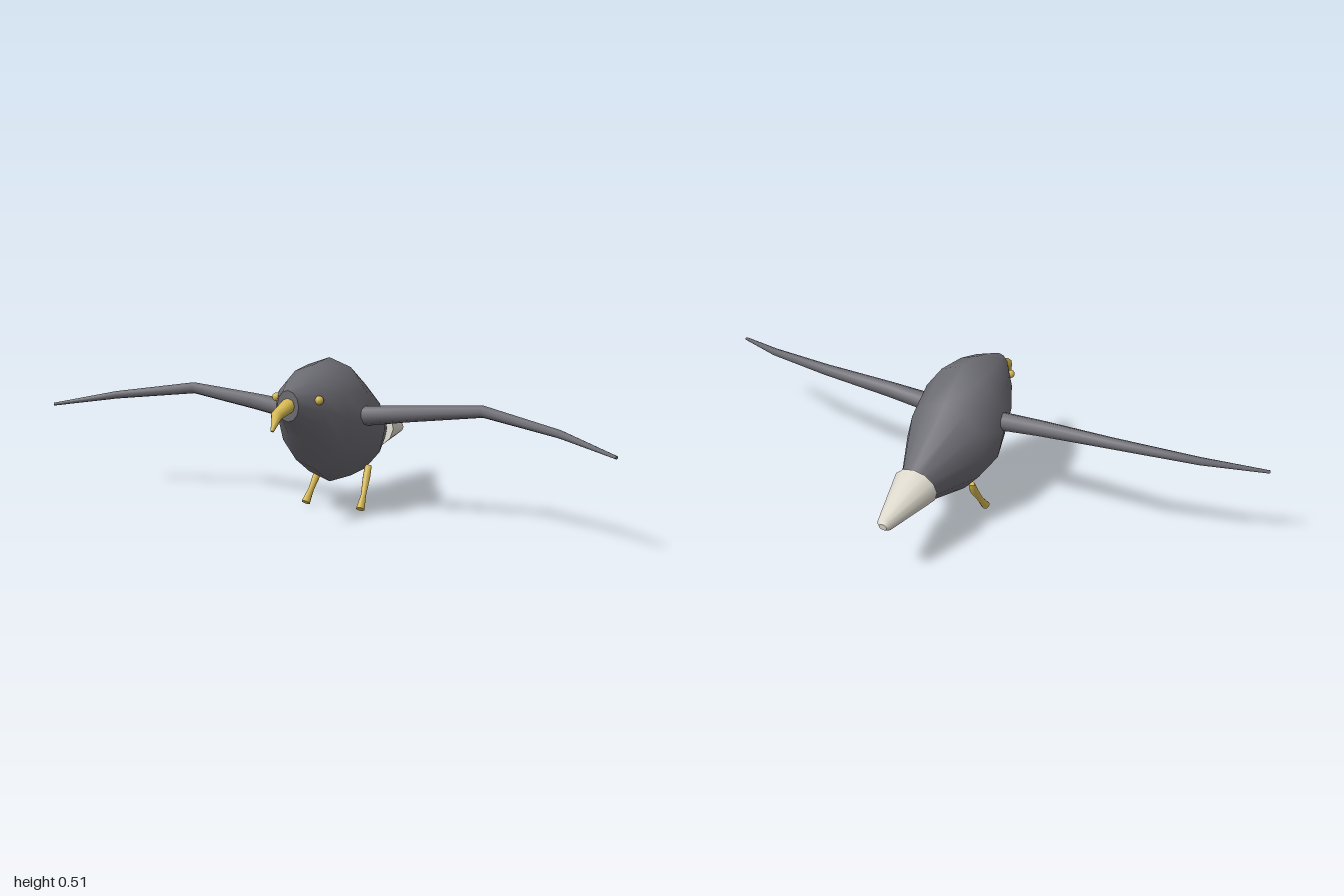
import * as THREE from 'three';

// Loft through elliptical sections [x, y, z, halfWidth, halfHeight].
// With "axis" set all sections face that way; otherwise they follow the path.
function loft(sections, sides, axis) {
  const centres = sections.map(s => new THREE.Vector3(s[0], s[1], s[2]));
  const last = sections.length - 1;
  const rings = sections.map((s, i) => {
    const t = axis ? axis.clone() : new THREE.Vector3()
      .subVectors(centres[Math.min(i + 1, last)], centres[Math.max(i - 1, 0)]).normalize();
    const side = new THREE.Vector3(0, 1, 0).cross(t).normalize();
    const up = t.clone().cross(side);
    return Array.from({ length: sides }, (_, j) => {
      const a = (j / sides) * Math.PI * 2;
      return centres[i].clone().addScaledVector(side, Math.sin(a) * s[3]).addScaledVector(up, Math.cos(a) * s[4]);
    });
  });
  const pos = [], idx = [];
  const add = p => pos.push(p.x, p.y, p.z) / 3 - 1;
  rings.forEach(r => r.forEach(add));
  for (let i = 0; i < last; i++) {
    for (let j = 0; j < sides; j++) {
      const k = (j + 1) % sides;
      const a = i * sides + j, b = i * sides + k, c = a + sides, d = b + sides;
      idx.push(a, c, b, b, c, d);
    }
  }
  // Flat end caps with their own vertices
  [0, last].forEach(i => {
    const c = add(centres[i]);
    const ring = rings[i].map(add);
    ring.forEach((v, j) => {
      const w = ring[(j + 1) % sides];
      idx.push(c, ...(i === 0 ? [v, w] : [w, v]));
    });
  });
  const g = new THREE.BufferGeometry();
  g.setAttribute('position', new THREE.Float32BufferAttribute(pos, 3));
  g.setIndex(idx);
  g.computeVertexNormals();
  return g;
}

export function createModel() {
  const group = new THREE.Group();
  const material = (name, color) => {
    const m = new THREE.MeshStandardMaterial({ color, side: THREE.DoubleSide });
    m.name = name;
    return m;
  };
  const grey = material('slate grey plumage', 0x6b6b72);
  const white = material('off-white tail', 0xdcd8cc);
  const yellow = material('yellow beak and legs', 0xd4b64f);

  const part = (name, geometry, mat) => {
    const mesh = new THREE.Mesh(geometry, mat);
    mesh.name = name;
    group.add(mesh);
  };

  // Body and head: [z, bottom, top, half width]
  const body = [
    [0.35, 0.34, 0.438, 0.038],
    [0.27, 0.27, 0.472, 0.09],
    [0.19, 0.165, 0.498, 0.128],
    [0.08, 0.1, 0.51, 0.155],
    [-0.04, 0.107, 0.432, 0.143],
    [-0.256, 0.167, 0.286, 0.048],
  ].map(([z, lo, hi, w]) => [0, (lo + hi) / 2, z, w, (hi - lo) / 2]);
  part('body', loft(body, 12, new THREE.Vector3(0, 0, -1)), grey);

  // Tail, tapering to a blunt tip
  part('tail', loft([
    [0, 0.228, -0.242, 0.078, 0.068],
    [0, 0.199, -0.438, 0.026, 0.022],
    [0, 0.197, -0.449, 0.014, 0.012],
  ], 12), white);

  // Hooked beak
  part('beak', loft([
    [0, 0.391, 0.345, 0.024, 0.024],
    [0, 0.37, 0.417, 0.02, 0.016],
    [0, 0.326, 0.446, 0.005, 0.005],
  ], 8), yellow);

  // Mirrored wings, legs and eyes
  for (const s of [1, -1]) {
    const label = s > 0 ? 'left' : 'right';
    part(label + 'Wing', loft([
      [0.08 * s, 0.325, 0.102, 0.034, 0.034],
      [0.28 * s, 0.348, 0.09, 0.027, 0.027],
      [0.53 * s, 0.372, 0.072, 0.02, 0.019],
      [0.8 * s, 0.339, 0.153, 0.014, 0.013],
      [0.998 * s, 0.305, 0.248, 0.006, 0.005],
    ], 8), grey);

    part(label + 'Leg', loft([
      [0.09 * s, 0.143, -0.025, 0.012, 0.009],
      [0.091 * s, 0.108, -0.01, 0.013, 0.014],
      [0.098 * s, 0.053, 0.027, 0.009, 0.01],
      [0.102 * s, 0.013, 0.058, 0.015, 0.014],
    ], 8), yellow);

    const eye = new THREE.SphereGeometry(0.014, 12, 8);
    eye.translate(0.076 * s, 0.404, 0.288);
    part(label + 'Eye', eye, yellow);
  }
  return group;
}
